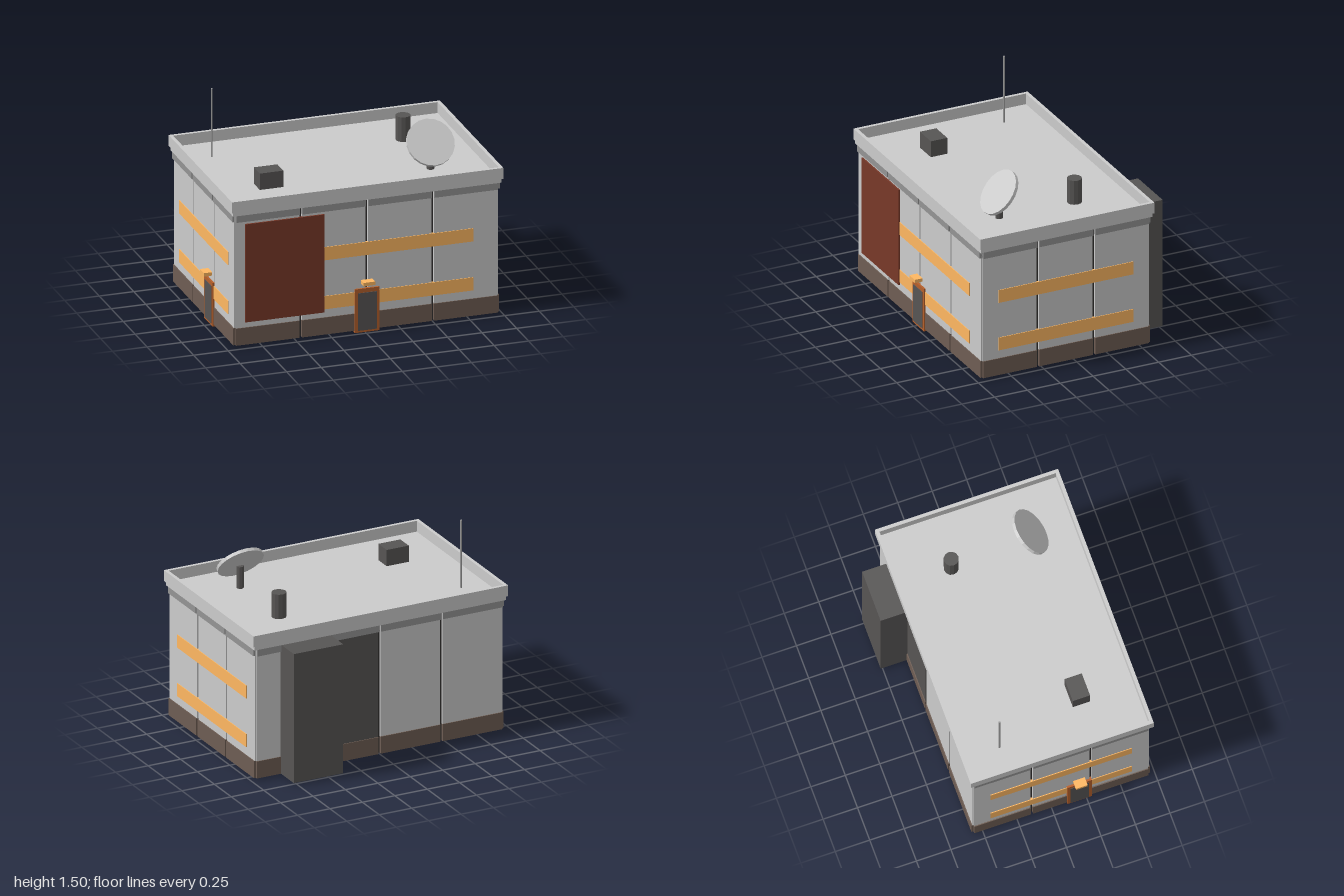
import * as THREE from 'three';

const paint = (color) => new THREE.MeshStandardMaterial({ color, flatShading: true });

export function createModel() {
  const grey = paint(0xcccccc), band = paint(0x949494), brown = paint(0x6e5d53), dark = paint(0x575554);
  const black = paint(0x333130), amber = paint(0xffb862), rust = paint(0x783828), copper = paint(0xb6602c);
  const model = new THREE.Group();
  model.name = 'building';

  function add(parent, name, geometry, material, x, y, z) {
    const mesh = new THREE.Mesh(geometry, material);
    mesh.name = name;
    mesh.position.set(x, y, z);
    parent.add(mesh);
    return mesh;
  }
  // Box given by its ranges along each axis
  const box = (parent, name, material, [x0, x1], [y0, y1], [z0, z1]) =>
    add(parent, name, new THREE.BoxGeometry(x1 - x0, y1 - y0, z1 - z0), material,
      (x0 + x1) / 2, (y0 + y1) / 2, (z0 + z1) / 2);

  // Everything is laid out around the middle of the main block
  const body = new THREE.Group();
  body.name = 'mainBlock';
  body.position.set(0.015, 0, 0.07);
  model.add(body);
  const HX = 0.955, HZ = 0.64;

  // Dark core, seen in the joints between wall panels and from below
  box(body, 'core', black, [-HX + 0.012, HX - 0.012], [0.018, 0.99], [-HZ + 0.012, HZ - 0.012]);

  // One facade: panels with plinth and cornice, separated by narrow joints
  function facade(name, angle, half, depth, count, windowLength, darkPanel = -1) {
    const side = new THREE.Group();
    side.name = name;
    side.rotation.y = angle;
    body.add(side);
    const pitch = 2 * half / count, joint = 0.0085;
    for (let i = 0; i < count; i++) {
      const span = [-half + i * pitch + joint, -half + (i + 1) * pitch - joint];
      box(side, 'wallPanel', i === darkPanel ? dark : grey, span, [0.14, 0.97], [depth - 0.02, depth]);
      box(side, 'plinth', brown, span, [0.015, 0.14], [depth - 0.02, depth + 0.007]);
      box(side, 'cornice', band, span, [0.92, 0.975], [depth - 0.02, depth + 0.012]);
    }
    if (windowLength) {
      for (const y of [0.2, 0.56]) {
        box(side, 'windowStrip', amber, [-windowLength / 2, windowLength / 2], [y, y + 0.096], [depth - 0.015, depth + 0.005]);
      }
    }
    return side;
  }

  // Door with surround and a lamp above it
  function door(side, x, depth) {
    for (const s of [-1, 1]) {
      const edges = [x + s * 0.089, x + s * 0.068].sort((a, b) => a - b);
      box(side, 'doorJamb', copper, edges, [0, 0.32], [depth - 0.02, depth + 0.014]);
    }
    box(side, 'doorLintel', copper, [x - 0.068, x + 0.068], [0.29, 0.32], [depth - 0.02, depth + 0.014]);
    box(side, 'doorSill', copper, [x - 0.068, x + 0.068], [0, 0.015], [depth - 0.02, depth + 0.014]);
    box(side, 'doorLeaf', dark, [x - 0.068, x + 0.068], [0.015, 0.29], [depth - 0.02, depth + 0.018]);
    box(side, 'doorLamp', amber, [x - 0.042, x + 0.042], [0.355, 0.38], [depth, depth + 0.06]);
  }

  const front = facade('frontFacade', 0, HX, HZ, 4, 1.54);
  facade('backFacade', Math.PI, HX, HZ, 4, 0, 1);
  facade('leftFacade', Math.PI / 2, HZ, HX, 3, 1.025);
  const right = facade('rightFacade', -Math.PI / 2, HZ, HX, 3, 1.025);
  door(front, 0, HZ);
  door(right, 0.13, HX);
  box(front, 'wallBoard', rust, [-0.88, -0.308], [0.18, 0.9], [HZ - 0.01, HZ + 0.012]);

  // Roof slab and parapet
  box(body, 'roofSlab', grey, [-0.97, 0.97], [0.97, 1.0], [-0.655, 0.655]);
  const rim = new THREE.Shape();
  const RX = 0.981, RZ = 0.664, T = 0.025;
  const rectangle = (x, z) => [[-x, -z], [x, -z], [x, z], [-x, z]].map(([a, b]) => new THREE.Vector2(a, b));
  rim.setFromPoints(rectangle(RX, RZ));
  rim.holes.push(new THREE.Path(rectangle(RX - T, RZ - T).reverse()));
  const rimGeometry = new THREE.ExtrudeGeometry(rim, { depth: 0.08, bevelEnabled: false });
  rimGeometry.rotateX(-Math.PI / 2);
  add(body, 'parapet', rimGeometry, grey, 0, 1.0, 0);

  // Rear service shaft
  box(model, 'serviceShaft', dark, [0.395, 0.775], [0.015, 0.97], [-0.765, -0.56]);

  // Rooftop equipment
  box(model, 'roofUnit', dark, [-0.645, -0.475], [1.0, 1.12], [0.26, 0.385]);
  add(model, 'ventPipe', new THREE.CylinderGeometry(0.052, 0.052, 0.18, 12), dark, 0.588, 1.09, -0.185);
  add(model, 'antenna', new THREE.CylinderGeometry(0.007, 0.007, 0.5, 8), band, -0.752, 1.25, -0.31);
  add(model, 'dishPost', new THREE.CylinderGeometry(0.026, 0.026, 0.16, 10), dark, 0.588, 1.08, 0.39);
  const dish = add(model, 'dish', new THREE.CylinderGeometry(0.17, 0.17, 0.024, 20), grey, 0.588, 1.19, 0.388);
  dish.rotation.x = 0.88;

  return model;
}
